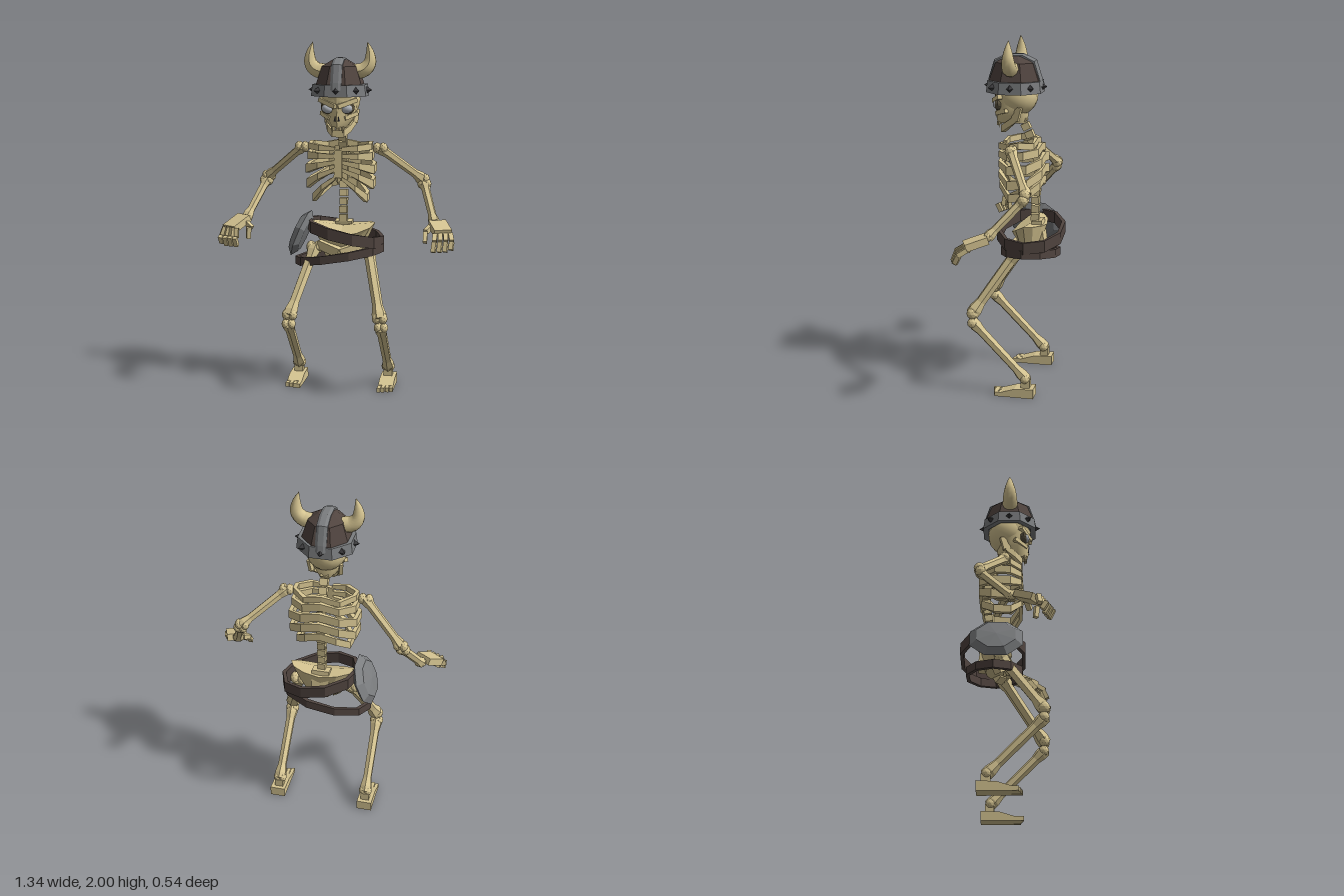
import * as THREE from 'three';

const V = (x, y, z) => new THREE.Vector3(x, y, z);
const mat = (color, flatShading = true) => new THREE.MeshStandardMaterial({ color, flatShading });
const BONE = mat(0xd6c592), SMOOTH = mat(0xd6c592, false), LEATHER = mat(0x50443f), STEEL = mat(0x7c7e80);
const DARK = mat(0x3c3b3d), EYE = mat(0xb4b8be, false), SOCKET = mat(0x5a5240);

export function createModel() {
  const model = new THREE.Group();
  let target = model;
  const group = (name) => {
    target = new THREE.Group();
    target.name = name;
    model.add(target);
  };
  const add = (name, geo, m, p = V(0, 0, 0), scale = V(1, 1, 1)) => {
    const mesh = new THREE.Mesh(geo, m);
    mesh.name = name;
    mesh.position.copy(p);
    mesh.scale.copy(scale);
    target.add(mesh);
    return mesh;
  };

  // Box running from a to b
  const bar = (name, a, b, w, d, m = BONE) => {
    const mid = a.clone().add(b).multiplyScalar(0.5);
    add(name, new THREE.BoxGeometry(w, d, a.distanceTo(b)), m, mid).lookAt(b);
  };

  // Long bone: waisted six-sided shaft with a pair of knobs on each end
  const longBone = (name, a, b, r, knobA, knobB) => {
    const len = a.distanceTo(b);
    const profile = [[0, -0.03], [1.25, -0.02], [1.3, 0.06], [1, 0.16], [0.95, 0.82], [1.3, 0.94], [1.25, 1.02], [0, 1.03]]
      .map(([x, y]) => new THREE.Vector2(x * r, y * len));
    const shaft = add(name, new THREE.LatheGeometry(profile, 6), BONE, a);
    shaft.quaternion.setFromUnitVectors(V(0, 1, 0), b.clone().sub(a).normalize());
    for (const [p, k] of [[a, knobA], [b, knobB]]) {
      for (const s of [-1, 1]) {
        add(name + 'Knob', new THREE.IcosahedronGeometry(k, 1), BONE, p.clone().add(V(s * k * 0.55, 0, 0)), V(0.8, 1, 1));
      }
    }
  };

  // Rectangular band along a path that turns from +z towards +x around (0, cz); h is one height or one per point
  const band = (name, path, h, t, m, cz, closed = false) => {
    const pos = [], idx = [], n = path.length;
    path.forEach((p, i) => {
      const out = V(p.x, 0, p.z - cz).normalize().multiplyScalar(t / 2);
      for (const [o, y] of [[1, -1], [1, 1], [-1, 1], [-1, -1]]) {
        pos.push(p.x + out.x * o, p.y + y * (h[i] ?? h) / 2, p.z + out.z * o);
      }
    });
    for (let i = 0; i < (closed ? n : n - 1); i++) {
      const a = i * 4, b = ((i + 1) % n) * 4;
      for (let k = 0; k < 4; k++) {
        const l = (k + 1) % 4;
        idx.push(a + k, b + k, b + l, a + k, b + l, a + l);
      }
    }
    const e = (n - 1) * 4;
    if (!closed) idx.push(0, 1, 2, 0, 2, 3, e, e + 2, e + 1, e, e + 3, e + 2);
    const geo = new THREE.BufferGeometry();
    geo.setAttribute('position', new THREE.Float32BufferAttribute(pos, 3));
    geo.setIndex(idx);
    geo.computeVertexNormals();
    add(name, geo, m);
  };

  // Skull
  group('skull');
  add('cranium', new THREE.SphereGeometry(1, 18, 14), SMOOTH, V(0, 1.68, 0.005), V(0.114, 0.115, 0.122));
  const face = new THREE.CylinderGeometry(1, 1, 1, 10, 3);
  const rows = [[1.71, 0.108, 0.135], [1.63, 0.104, 0.118], [1.575, 0.086, 0.125], [1.525, 0.046, 0.115]];
  const fp = face.attributes.position;
  for (let i = 0; i < fp.count; i++) {
    const [y, w, front] = rows[Math.round((0.5 - fp.getY(i)) * 3)];
    fp.setXYZ(i, fp.getX(i) * w, y, 0.03 + fp.getZ(i) * (front - 0.03));
  }
  face.computeVertexNormals();
  add('face', face, SMOOTH);
  for (const s of [-1, 1]) {
    add('eyeSocket', new THREE.SphereGeometry(1, 12, 8), SOCKET, V(s * 0.055, 1.632, 0.092), V(0.042, 0.032, 0.028)).rotation.z = s * 0.3;
    add('eye', new THREE.SphereGeometry(1, 12, 8), EYE, V(s * 0.056, 1.632, 0.1), V(0.033, 0.025, 0.028)).rotation.z = s * 0.3;
    bar('brow', V(s * 0.006, 1.646, 0.13), V(s * 0.104, 1.682, 0.075), 0.03, 0.024);
    bar('cheekbone', V(s * 0.04, 1.58, 0.108), V(s * 0.1, 1.605, 0.04), 0.024, 0.022);
    bar('jawRamus', V(s * 0.086, 1.625, -0.025), V(s * 0.078, 1.55, -0.005), 0.02, 0.045);
    add('noseHole', new THREE.ConeGeometry(0.01, 0.032, 3), DARK, V(s * 0.01, 1.58, 0.121), V(1, 1, 0.5));
    add('fang', new THREE.ConeGeometry(0.009, 0.035, 4), BONE, V(s * 0.03, 1.515, 0.098)).rotation.x = Math.PI;
  }
  for (let i = -1; i <= 1; i++) add('tooth', new THREE.BoxGeometry(0.013, 0.022, 0.014), BONE, V(i * 0.018, 1.522, 0.104));
  const jaw = [V(0.03, 1.492, 0.075), V(0.058, 1.52, 0.04), V(0.078, 1.56, -0.01)];
  band('jaw', [...jaw.map((p) => V(-p.x, p.y, p.z)).reverse(), ...jaw], 0.04, 0.024, BONE, 0);

  // Helmet: eight-sided dome, crest strip, studded rim
  group('helmet');
  const dome = [[0.14, 1.72], [0.137, 1.77], [0.104, 1.865], [0.045, 1.9], [0, 1.905]];
  const turned = (pts) => new THREE.LatheGeometry(pts.map(([x, y]) => new THREE.Vector2(x, y)), 8, Math.PI / 8);
  add('dome', turned(dome), LEATHER, V(0, 0, 0.01), V(1, 1, 1.1));
  add('rim', turned([[0.135, 1.7], [0.168, 1.7], [0.16, 1.765], [0.13, 1.765], [0.135, 1.7]]), STEEL, V(0, 0, 0.01));
  const crest = new THREE.Shape([[-0.15, 1.74], [0.15, 1.74], [0.143, 1.775], [0.112, 1.873], [0.045, 1.905], [-0.045, 1.905], [-0.112, 1.873], [-0.143, 1.775]]
    .map(([z, y]) => new THREE.Vector2(z, y)));
  const crestGeo = new THREE.ExtrudeGeometry(crest, { depth: 0.03, bevelThickness: 0.016, bevelSize: 0.008, bevelSegments: 1 });
  add('crest', crestGeo.rotateY(-Math.PI / 2), STEEL, V(0.015, 0, 0.01));
  for (let i = 0; i < 8; i++) {
    const a = i * Math.PI / 4;
    const stud = new THREE.ConeGeometry(0.023, 0.035, 4).rotateX(Math.PI / 2);
    add('stud', stud, DARK, V(Math.sin(a) * 0.164, 1.733, 0.01 + Math.cos(a) * 0.164)).rotation.y = a;
  }
  for (const s of [-1, 1]) {
    const curve = new THREE.CatmullRomCurve3([V(s * 0.09, 1.835, 0.015), V(s * 0.135, 1.845, 0.015), V(s * 0.167, 1.88, 0.015), V(s * 0.17, 1.935, 0.015), V(s * 0.155, 2, 0.015)]);
    const horn = new THREE.TubeGeometry(curve, 12, 1, 10);
    const hp = horn.attributes.position;
    for (let i = 0; i < hp.count; i++) {
      const t = Math.floor(i / 11) / 12, c = curve.getPointAt(t);
      const p = V(0, 0, 0).fromBufferAttribute(hp, i).sub(c).multiplyScalar(0.044 * (1 - t ** 2.2) + 0.0005).add(c);
      hp.setXYZ(i, p.x, p.y, p.z);
    }
    horn.computeVertexNormals();
    add('horn', horn, SMOOTH);
  }

  // Spine
  group('spine');
  const spine = new THREE.CatmullRomCurve3([V(0, 1.57, -0.02), V(0, 1.43, -0.085), V(0, 1.27, -0.125), V(0, 1.1, -0.108), V(0, 0.96, -0.105)]);
  for (let i = 0; i < 13; i++) {
    bar('vertebra', spine.getPointAt((i + 0.06) / 13), spine.getPointAt((i + 0.88) / 13), 0.045, 0.045);
  }

  // Rib cage: each pair wraps round the back; [front y, side y, back y, half width, back z, height]
  group('ribCage');
  const ribs = [[1.405, 1.415, 1.43, 0.172, -0.11, 0.035], [1.365, 1.36, 1.395, 0.175, -0.135, 0.045], [1.33, 1.285, 1.34, 0.187, -0.155, 0.05],
    [1.288, 1.2, 1.275, 0.182, -0.155, 0.05], [1.24, 1.12, 1.205, 0.148, -0.14, 0.045]];
  for (const [f, s, b, w, z, h] of ribs) {
    const half = [V(0.018, f, 0.075), V(w * 0.6, f * 0.55 + s * 0.45, 0.073), V(w, s, 0.015), V(w * 0.98, s + 0.008, z + 0.065), V(w * 0.55, b - 0.02, z)];
    const other = half.map((p) => V(-p.x, p.y, p.z)).reverse();
    const heights = [0.022, 0.034, h, h, h, h, h, h, h, 0.034, 0.022];
    band('ribPair', [...half, V(0, b, z), ...other], heights, 0.024, BONE, -0.04);
  }
  bar('sternum', V(0, 1.4, 0.075), V(0, 1.24, 0.08), 0.045, 0.025);
  add('sternumTip', new THREE.ConeGeometry(0.024, 0.04, 4), BONE, V(0, 1.225, 0.08)).rotation.x = Math.PI;

  // Pelvis: open bowl with flared wings, notched at the front
  group('pelvis');
  const bowl = new THREE.CylinderGeometry(0.19, 0.1, 0.15, 12, 2);
  const bp = bowl.attributes.position;
  for (let i = 0; i < bp.count; i++) {
    const x = bp.getX(i), y = bp.getY(i), z = bp.getZ(i);
    const top = y > 0 ? 1 : 0;
    bp.setXYZ(i, x, 0.87 + y + top * (Math.abs(x) * 0.12 - Math.max(0, z) * 0.25), -0.075 + z * 0.52);
  }
  add('hipBowl', bowl, BONE);
  for (const s of [-1, 1]) {
    bar('pubicBone', V(s * 0.13, 0.84, -0.03), V(0, 0.8, 0.02), 0.05, 0.05);
    bar('sitBone', V(s * 0.1, 0.86, -0.08), V(s * 0.06, 0.77, -0.04), 0.05, 0.05);
  }
  bar('sacrum', V(0, 0.97, -0.12), V(0, 0.81, -0.14), 0.1, 0.06);

  // Arms, hands, legs and feet
  for (const s of [-1, 1]) {
    const side = s > 0 ? 'left' : 'right';
    const P = (x, y, z) => V(s * x, y, z);

    group(side + 'Arm');
    longBone('upperArm', P(0.225, 1.405, -0.015), P(0.452, 1.218, -0.145), 0.026, 0.032, 0.031);
    longBone('forearm', P(0.465, 1.19, -0.138), P(0.54, 1.0, 0.035), 0.025, 0.03, 0.024);

    // The right hand reaches a little further forward
    group(side + 'Hand');
    target.position.z = s > 0 ? -0.005 : 0.02;
    bar('palm', P(0.555, 0.995, 0.045), P(0.603, 0.955, 0.155), 0.1, 0.04);
    for (let i = 0; i < 4; i++) {
      const o = (i - 1.5) * 0.029;
      const a = P(0.6 + o * 0.92, 0.95, 0.152 - o * 0.4), b = a.clone().add(P(0.006 + o * 0.15, -0.035, 0.045));
      bar('fingerBase', a, b, 0.025, 0.026);
      bar('fingerTip', b, b.clone().add(P(-0.004, i === 3 ? -0.045 : -0.055, 0.012)), 0.024, 0.025);
    }
    bar('thumbBase', P(0.535, 0.985, 0.07), P(0.5, 0.955, 0.125), 0.027, 0.027);
    bar('thumbTip', P(0.5, 0.955, 0.125), P(0.503, 0.9, 0.16), 0.024, 0.024);

    group(side + 'Leg');
    longBone('thigh', P(0.158, 0.82, -0.035), P(0.258, 0.47, 0.2), 0.032, 0.037, 0.033);
    longBone('shin', P(0.265, 0.415, 0.198), P(0.267, 0.105, -0.105), 0.028, 0.03, 0.029);

    group(side + 'Foot');
    const sole = new THREE.Shape([[-0.16, 0], [0.025, 0], [0.025, 0.026], [-0.05, 0.05], [-0.16, 0.056]].map(([z, y]) => new THREE.Vector2(z, y)));
    add('footBody', new THREE.ExtrudeGeometry(sole, { depth: 0.088, bevelEnabled: false }).rotateY(-Math.PI / 2), BONE, V(s * 0.27 + 0.044, 0, 0));
    add('ankle', new THREE.BoxGeometry(0.05, 0.06, 0.05), BONE, P(0.268, 0.07, -0.11));
    for (let i = 0; i < 4; i++) {
      add('toe', new THREE.BoxGeometry(0.02, 0.025, 0.058 - i * 0.006), BONE, P(0.236 + i * 0.023, 0.0125, 0.053 - i * 0.003));
    }
  }

  // Two slanting belts: [name, centre x, radius x, centre z, radius z, y, slope, height]
  group('belts');
  const belts = [['upperBelt', 0.013, 0.21, -0.085, 0.178, 0.908, -0.23, 0.066], ['lowerBelt', -0.02, 0.243, -0.075, 0.152, 0.78, 0.18, 0.048]];
  for (const [name, cx, rx, cz, rz, y, slope, h] of belts) {
    const path = [];
    for (let i = 0; i < 10; i++) {
      const a = (i + 0.5) * Math.PI / 5, x = cx + Math.sin(a) * rx * 1.03;
      path.push(V(x, y + slope * x, cz + Math.cos(a) * rz * 1.03));
    }
    band(name, path, h, 0.022, LEATHER, cz, true);
  }

  // Bevelled eight-sided disc hung on the right hip
  const plate = turned([[0, -0.03], [0.11, -0.027], [0.15, 0], [0.11, 0.032], [0, 0.042]]);
  add('hipShield', plate, STEEL, V(-0.242, 0.897, -0.06), V(0.97, 1, 1.06)).rotation.z = 1.18;
  return model;
}
